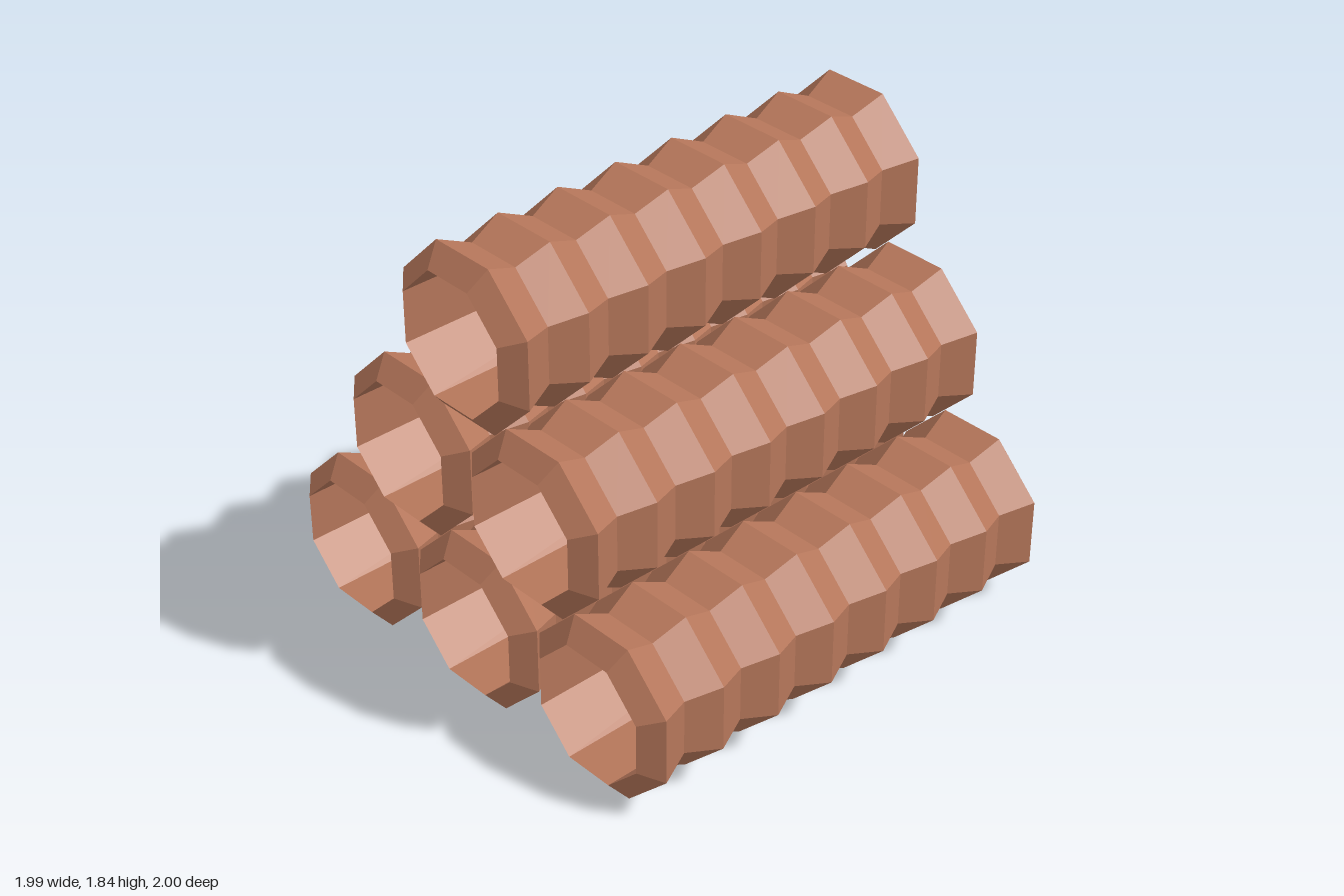
import * as THREE from 'three';

const SIDES = 8;
const toCorner = 1 / Math.cos(Math.PI / SIDES); // flat-to-centre distance -> corner radius
const PEAK = 0.327, VALLEY = 0.272, BORE = 0.248;
const SPACING = 0.667, ROW_STEP = 0.595;

// Ribbed octagonal pipe with a straight bore, lying along z
function pipeGeometry() {
  const profile = [];
  const add = (flat, z) => profile.push(new THREE.Vector2(flat * toCorner, z));
  add(BORE, -1);
  for (let i = 0; i < 15; i++) add(i % 2 ? VALLEY : PEAK, -0.933 + (i * 1.866) / 14);
  add(BORE, 1);
  add(BORE, -1);
  const geometry = new THREE.LatheGeometry(profile, SIDES, Math.PI / SIDES);
  geometry.rotateX(Math.PI / 2);
  return geometry;
}

export function createModel() {
  const model = new THREE.Group();
  model.name = 'pipeStack';
  const clay = new THREE.MeshStandardMaterial({ color: 0xb5765a, flatShading: true });
  const geometry = pipeGeometry();

  // Pyramid of three, two and one pipes
  for (let row = 0; row < 3; row++) {
    const count = 3 - row;
    for (let i = 0; i < count; i++) {
      const pipe = new THREE.Mesh(geometry, clay);
      pipe.name = `pipeRow${row + 1}Number${i + 1}`;
      pipe.position.set((i - (count - 1) / 2) * SPACING, PEAK + row * ROW_STEP, 0);
      model.add(pipe);
    }
  }
  return model;
}
